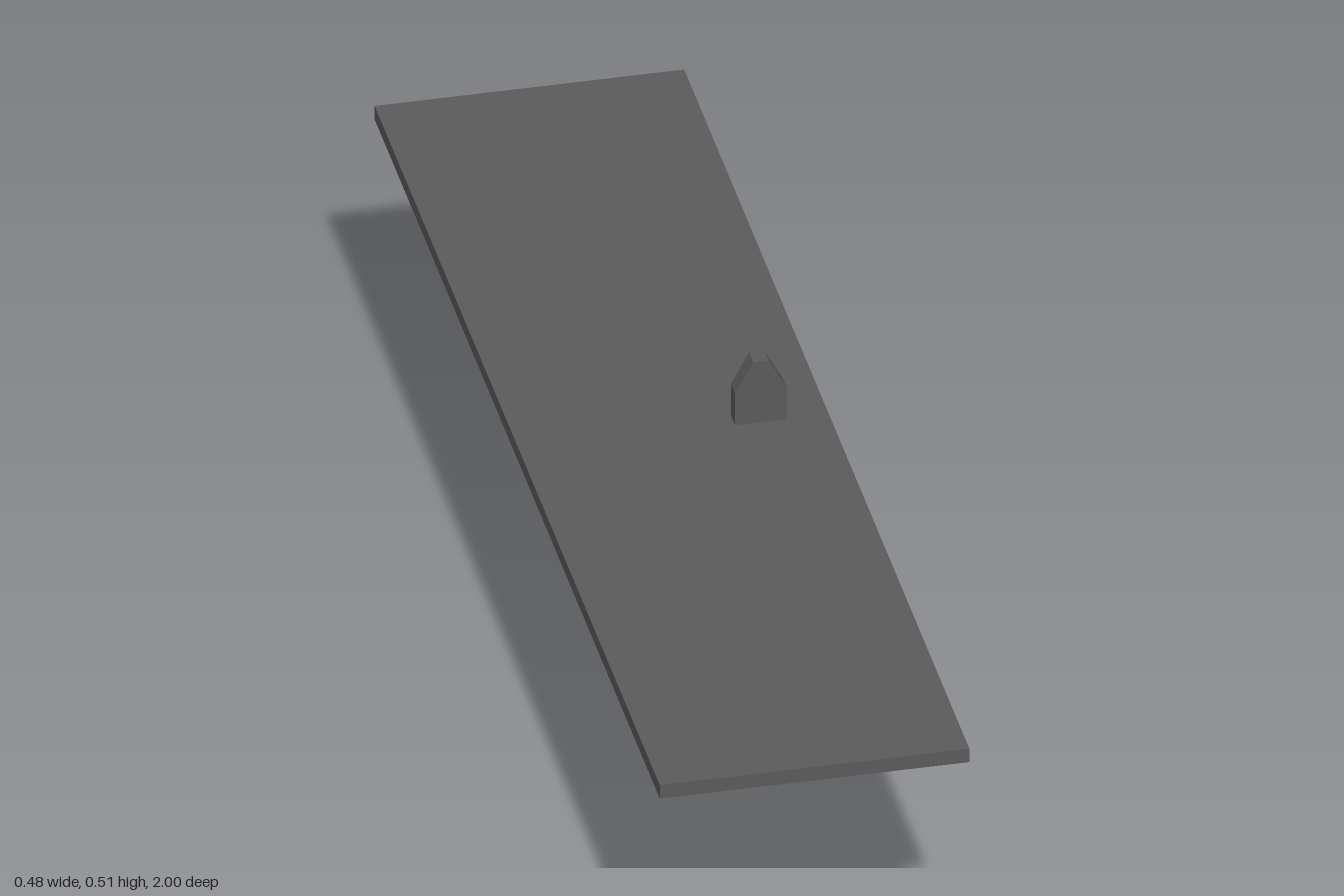
import * as THREE from 'three';

const material = new THREE.MeshStandardMaterial({ color: 0x5a5a5a, flatShading: true });

// Extrudes a closed outline, centred on its depth axis
function extrudeOutline(name, points, depth) {
  const shape = new THREE.Shape(points.map(([x, y]) => new THREE.Vector2(x, y)));
  const geometry = new THREE.ExtrudeGeometry(shape, { depth, bevelEnabled: false });
  geometry.translate(0, 0, -depth / 2);
  const mesh = new THREE.Mesh(geometry, material);
  mesh.name = name;
  return mesh;
}

export function createModel() {
  const model = new THREE.Group();
  model.name = 'plankOnStand';

  // Long flat plank
  const plankBottom = 0.376, plankTop = 0.4;
  const plank = new THREE.Mesh(
    new THREE.BoxGeometry(0.483, plankTop - plankBottom, 2), material);
  plank.name = 'plank';
  plank.position.y = (plankTop + plankBottom) / 2;
  model.add(plank);

  // U-shaped stand: two legs joined by a crossbar under the plank
  const outer = 0.207, inner = 0.145, barBottom = 0.337;
  const stand = extrudeOutline('stand', [
    [-outer, 0], [-inner, 0], [-inner, barBottom], [inner, barBottom],
    [inner, 0], [outer, 0], [outer, plankBottom], [-outer, plankBottom],
  ], 0.163);
  stand.rotation.y = Math.PI / 2;
  model.add(stand);

  // Small upright tab with a tapered top
  const tabShoulder = 0.456, tabTop = 0.509;
  const tab = extrudeOutline('tab', [
    [-0.0405, plankTop], [0.0405, plankTop], [0.0405, tabShoulder],
    [0.012, tabTop], [-0.012, tabTop], [-0.0405, tabShoulder],
  ], 0.03);
  tab.position.x = 0.1355;
  model.add(tab);

  return model;
}
